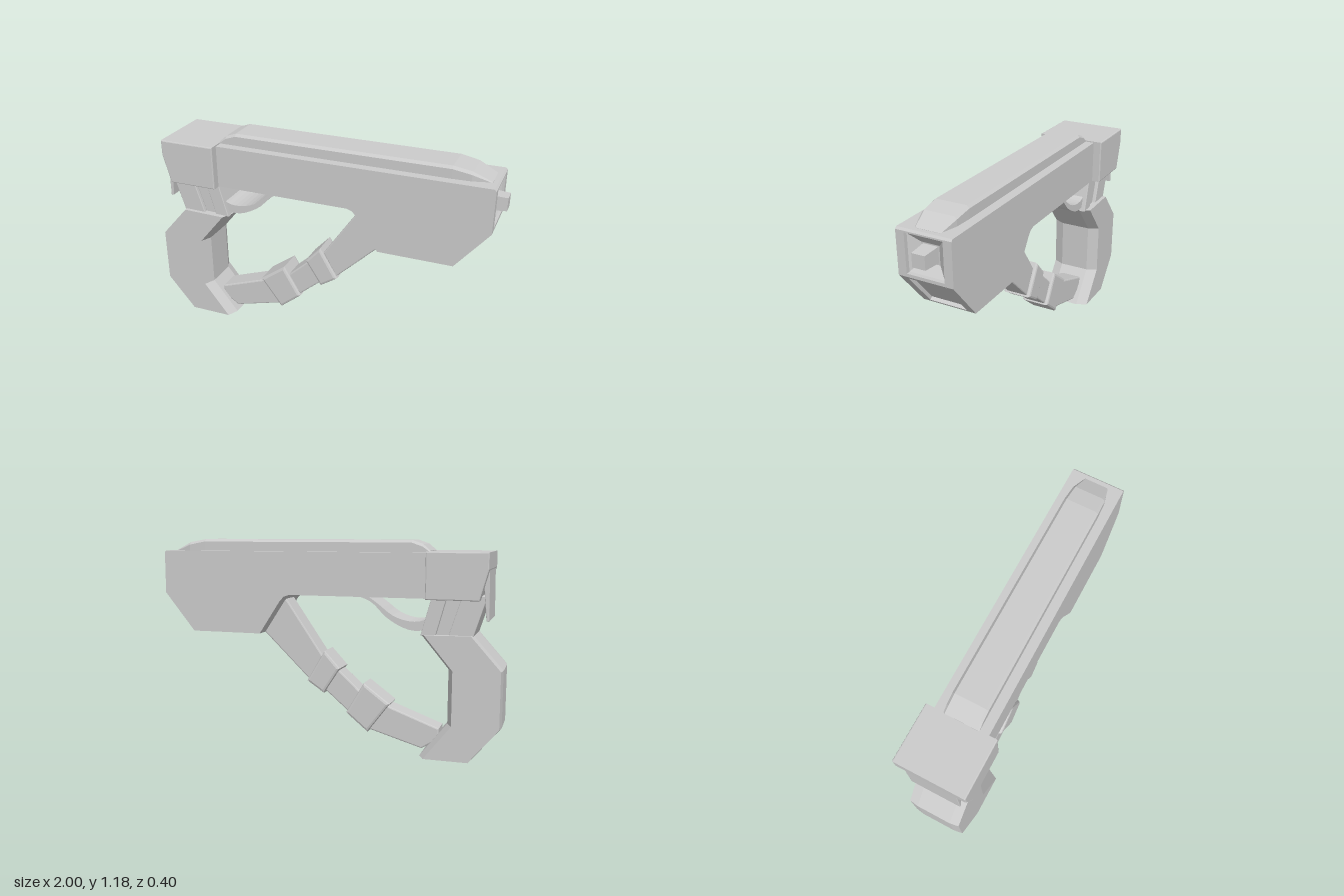
import * as THREE from 'three';

const mat = new THREE.MeshStandardMaterial({ color: 0xcccccc, flatShading: true, side: THREE.DoubleSide });

function add(parent, name, geometry) {
  const mesh = new THREE.Mesh(geometry, mat);
  mesh.name = name;
  parent.add(mesh);
  return mesh;
}

// Side profile (x, y) extruded from z0 to z1 with an inward bevel
function slab(points, z0, z1, bevel = 0) {
  const shape = new THREE.Shape(points.map(([x, y]) => new THREE.Vector2(x, y)));
  const geo = new THREE.ExtrudeGeometry(shape, {
    depth: z1 - z0 - 2 * bevel, bevelEnabled: bevel > 0, bevelSize: bevel,
    bevelOffset: -bevel, bevelThickness: bevel, bevelSegments: 2, curveSegments: 8,
  });
  return geo.translate(0, 0, z0 + bevel);
}
const centred = (points, half, bevel) => slab(points, -half, half, bevel);

// Skin between cross-sections of equal point count, with end caps
function loft(sections) {
  const pos = [], idx = [], n = sections[0].length;
  sections.forEach((s) => s.forEach((p) => pos.push(...p)));
  for (let i = 0; i < sections.length - 1; i++) {
    for (let j = 0; j < n; j++) {
      const a = i * n + j, b = i * n + (j + 1) % n;
      idx.push(a, b, b + n, a, b + n, a + n);
    }
  }
  const last = (sections.length - 1) * n;
  for (let j = 1; j < n - 1; j++) idx.push(0, j + 1, j, last, last + j, last + j + 1);
  const geo = new THREE.BufferGeometry();
  geo.setAttribute('position', new THREE.Float32BufferAttribute(pos, 3));
  geo.setIndex(idx);
  const flat = geo.toNonIndexed();
  flat.computeVertexNormals();
  return flat;
}

export function createModel() {
  const model = new THREE.Group();
  model.name = 'blaster';

  // Body: two full side walls and a core notched for the muzzle and slope panel
  const body = new THREE.Group();
  body.name = 'body';
  model.add(body);
  const rear = [[-0.62, 1.12], [-0.62, 0.88], [0.18, 0.88], [0.21, 0.87], [0.235, 0.845], [0.36, 0.655], [0.775, 0.655]];
  const wall = [...rear, [0.955, 0.875], [0.955, 1.11], [0.945, 1.12]];
  const core = [...rear, [0.785, 0.667], [0.77, 0.68], [0.925, 0.87], [0.945, 0.862], [0.955, 0.875], [0.955, 0.892],
    [0.9, 0.892], [0.9, 1.102], [0.955, 1.102], [0.955, 1.11], [0.945, 1.12]];
  add(body, 'leftWall', slab(wall, 0.105, 0.152));
  add(body, 'rightWall', slab(wall, -0.152, -0.105));
  add(body, 'core', centred(core, 0.105));

  // Muzzle: square funnel around a peg
  const funnel = new THREE.CylinderGeometry(0.098 * Math.SQRT2, 0.05 * Math.SQRT2, 0.04, 4, 1, true);
  funnel.rotateY(Math.PI / 4).rotateZ(-Math.PI / 2).translate(0.922, 0.997, 0);
  add(body, 'muzzleFunnel', funnel);
  const peg = new THREE.CylinderGeometry(0.036 * Math.SQRT2, 0.042 * Math.SQRT2, 0.11, 4);
  peg.rotateY(Math.PI / 4).rotateZ(-Math.PI / 2).translate(0.945, 0.998, 0);
  add(body, 'muzzlePeg', peg);

  // Top rail: chamfered sections swept along x as [x, top, half width]
  const railStations = [[-0.6, 1.13, 0.1], [-0.56, 1.165, 0.1], [-0.5, 1.186, 0.1], [0.72, 1.186, 0.1],
    [0.82, 1.168, 0.095], [0.92, 1.121, 0.07]];
  add(model, 'topRail', loft(railStations.map(([x, top, w]) => {
    const c = Math.min(0.014, (top - 1.11) * 0.4);
    return [[x, 1.11, w], [x, 1.11, -w], [x, top - c, -w], [x, top, c - w], [x, top, w - c], [x, top - c, w]];
  })));

  // Rear block and the flap hanging behind it
  add(model, 'rearBlock', centred([[-0.875, 0.878], [-0.595, 0.878], [-0.595, 1.127], [-0.92, 1.127], [-0.92, 1.04]], 0.2, 0.006));
  add(model, 'rearFlap', centred([[-0.922, 0.77], [-0.908, 0.77], [-0.89, 0.97], [-0.88, 1.06], [-0.918, 1.06]], 0.145, 0.003));

  // Neck in three strips, the middle one set back
  const neckStrips = [[-0.91, -0.78, -0.84, -0.71, 0.13], [-0.78, -0.70, -0.71, -0.64, 0.11], [-0.70, -0.62, -0.64, -0.56, 0.125]];
  neckStrips.forEach(([t0, t1, b0, b1, half]) =>
    add(model, 'neckStrip', centred([[b0, 0.68], [b1, 0.68], [t1, 0.9], [t0, 0.9]], half, 0.004)));

  // Grip: stations of rear and front edge, front corners cut back
  const gripStations = [[-0.84, 0.008, -0.56, 0.008], [-1, 0.2, -0.71, 0.2], [-1, 0.51, -0.71, 0.5], [-0.84, 0.69, -0.555, 0.685]];
  add(model, 'grip', loft(gripStations.map(([rx, ry, fx, fy]) => [
    [rx, ry, 0.1], [rx + 0.008, ry, 0.152], [fx - 0.03, fy, 0.152], [fx, fy, 0.09],
    [fx, fy, -0.09], [fx - 0.03, fy, -0.152], [rx + 0.008, ry, -0.152], [rx, ry, -0.1],
  ])));

  // Trigger guard: curved band
  const v = (x, y) => new THREE.Vector2(x, y);
  const outer = new THREE.SplineCurve([v(-0.64, 0.74), v(-0.57, 0.705), v(-0.48, 0.708), v(-0.37, 0.765), v(-0.28, 0.85), v(-0.17, 0.89)]);
  const inner = new THREE.SplineCurve([v(-0.25, 0.89), v(-0.32, 0.84), v(-0.41, 0.775), v(-0.51, 0.75), v(-0.59, 0.77), v(-0.64, 0.86)]);
  const band = [...outer.getPoints(16), ...inner.getPoints(16)].map((p) => [p.x, p.y]);
  add(model, 'triggerGuard', centred(band, 0.1));

  // Strut from body to grip with two collars
  const strut = new THREE.Group();
  strut.name = 'strut';
  model.add(strut);
  const segments = [
    [[0.23, 0.85], [0.01, 0.53], [0.09, 0.39], [0.37, 0.66], [0.4, 0.8]],
    [[0.0, 0.53], [-0.22, 0.33], [-0.14, 0.22], [0.06, 0.39]],
    [[-0.24, 0.315], [-0.36, 0.27], [-0.66, 0.16], [-0.66, 0.1], [-0.565, 0.04], [-0.25, 0.13], [-0.16, 0.21]],
  ];
  const collars = [
    [[-0.005, 0.562], [-0.095, 0.465], [0.0, 0.318], [0.1, 0.385]],
    [[-0.235, 0.39], [-0.385, 0.28], [-0.258, 0.112], [-0.132, 0.215]],
  ];
  segments.forEach((p) => add(strut, 'strutSegment', centred(p, 0.066, 0.008)));
  collars.forEach((p) => add(strut, 'strutCollar', centred(p, 0.086, 0.014)));

  return model;
}
